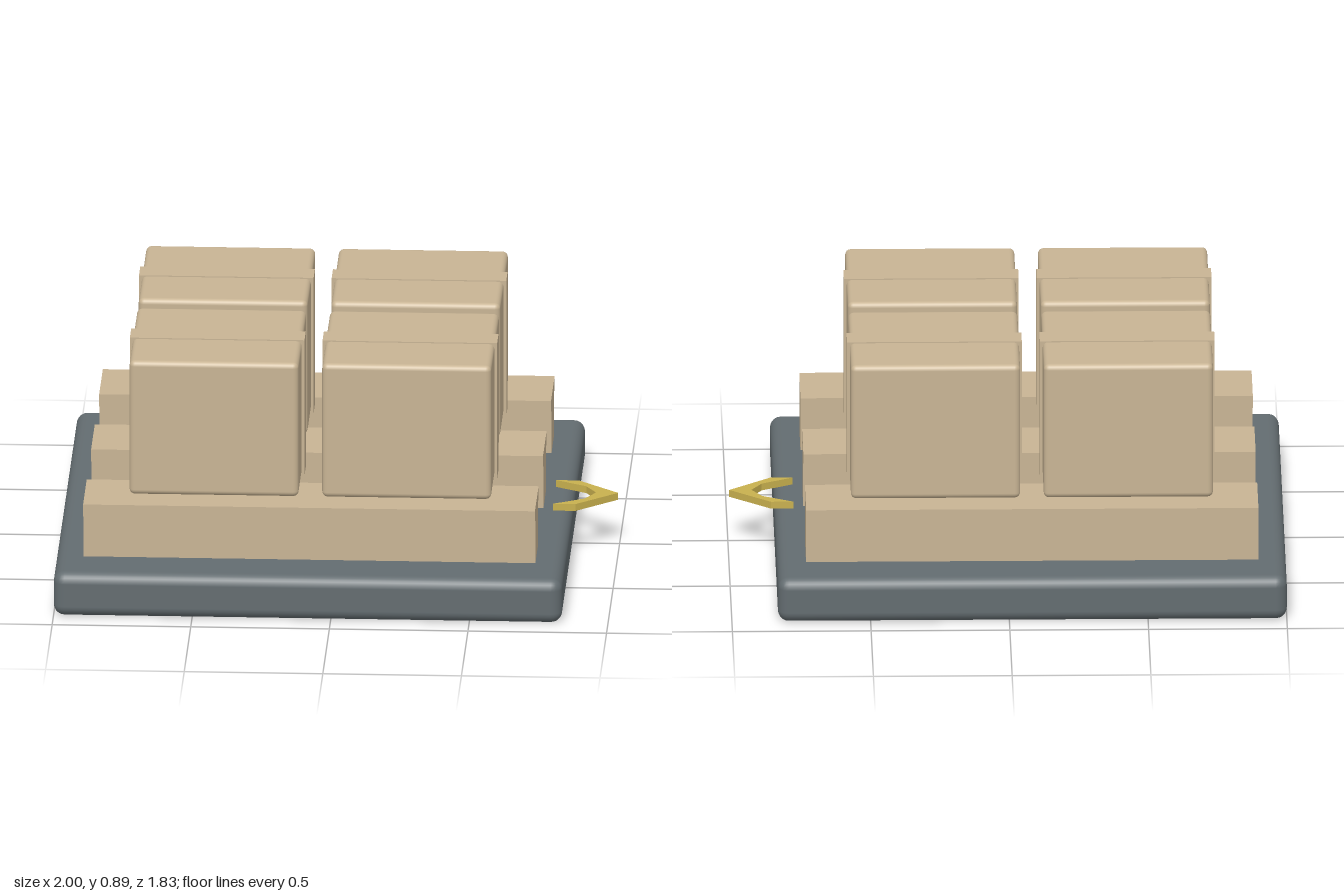
import * as THREE from 'three';
import { RoundedBoxGeometry } from 'three/addons/geometries/RoundedBoxGeometry.js';

export function createModel() {
  const model = new THREE.Group();
  model.name = 'loadedPallet';

  const material = (name, color) => {
    const m = new THREE.MeshStandardMaterial({ color });
    m.name = name;
    return m;
  };
  const slate = material('slate', 0x636c70);
  const cardboard = material('cardboard', 0xc8b494);
  const gold = material('gold', 0xc8b04e);

  // Box of the given size, rounded when a radius is given
  const box = (name, size, position, mat, radius = 0) => {
    const geometry = radius
      ? new RoundedBoxGeometry(...size, 3, radius)
      : new THREE.BoxGeometry(...size);
    const mesh = new THREE.Mesh(geometry, mat);
    mesh.name = name;
    mesh.position.set(...position);
    model.add(mesh);
  };

  // Base slab
  box('base', [1.834, 0.165, 1.834], [-0.083, 0.0825, 0], slate, 0.04);

  // Three runners, each a beam with a wider board on top
  for (const z of [-0.615, 0, 0.615]) {
    box('runnerBeam', [1.63, 0.165, 0.2], [-0.085, 0.2475, z], cardboard);
    box('runnerBoard', [1.63, 0.046, 0.28], [-0.085, 0.353, z], cardboard);
  }

  // Four cartons, each wrapped by a strap
  for (const x of [-0.433, 0.262]) {
    for (const z of [-0.348, 0.348]) {
      box('carton', [0.61, 0.508, 0.61], [x, 0.634, z], cardboard, 0.02);
      box('strap', [0.63, 0.516, 0.1], [x, 0.634, z], cardboard);
    }
  }

  // Flat direction arrow on the +x edge
  const half = [[0.765, 0.132], [0.847, 0.132], [0.995, 0]];
  const inner = [[0.915, 0], [0.877, 0.068]];
  const outline = [
    ...half,
    ...half.slice(0, 2).reverse().map(([x, z]) => [x, -z]),
    [inner[1][0], -inner[1][1]],
    ...inner,
  ];
  const shape = new THREE.Shape(outline.map(([x, z]) => new THREE.Vector2(x, z)));
  const arrowGeometry = new THREE.ExtrudeGeometry(shape, { depth: 0.026, bevelEnabled: false });
  arrowGeometry.rotateX(-Math.PI / 2);
  const arrow = new THREE.Mesh(arrowGeometry, gold);
  arrow.name = 'directionArrow';
  arrow.position.y = 0.167;
  model.add(arrow);

  return model;
}
